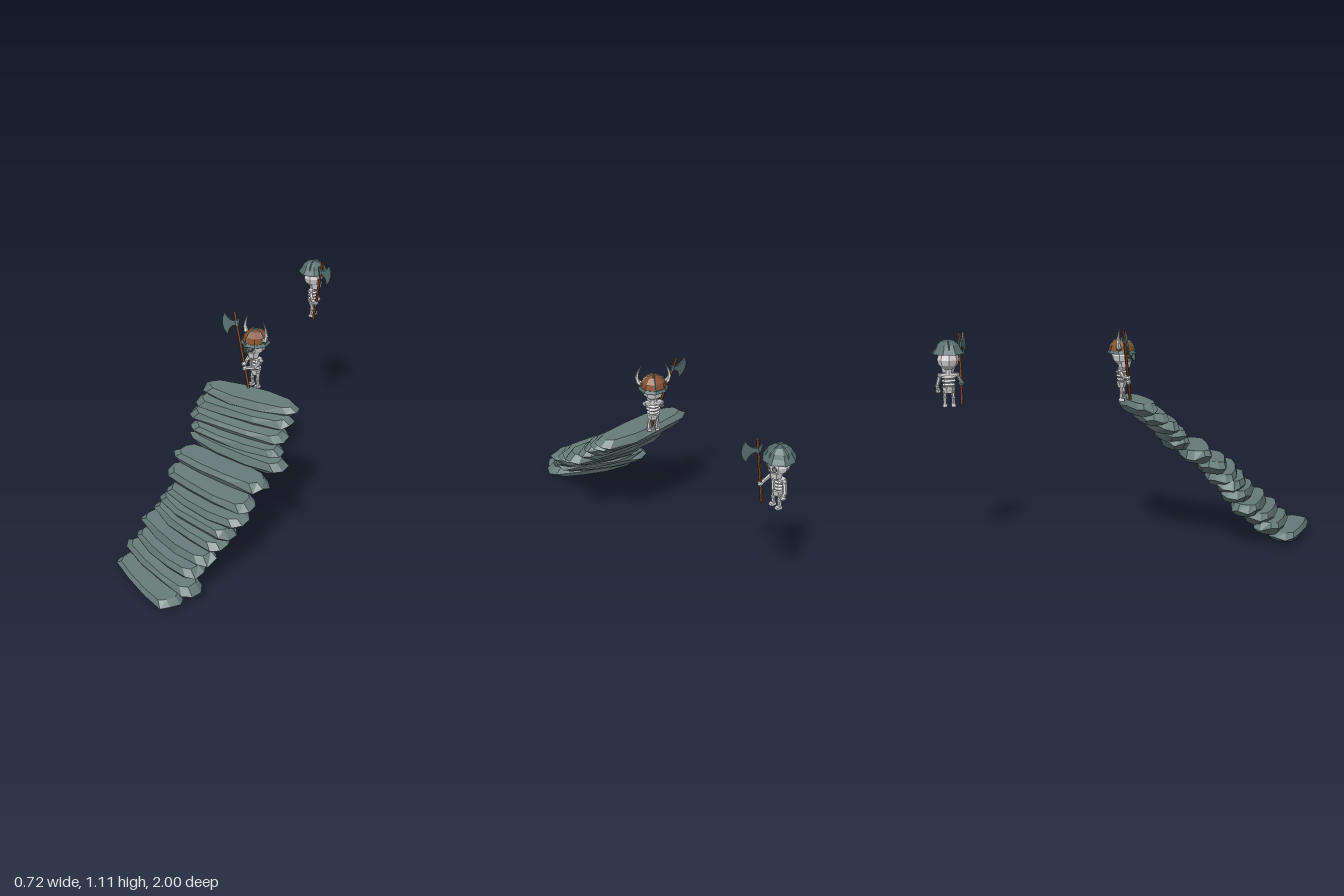
import * as THREE from 'three';

const mat = (name, color, double) => new THREE.MeshStandardMaterial({
  name, color, flatShading: true, side: double ? THREE.DoubleSide : THREE.FrontSide });
const V = (x, y, z) => new THREE.Vector3(x, y, z);

export function createModel() {
  const stone = mat('stone', 0x667b79), metal = mat('dull metal', 0x586e6e, true),
    leather = mat('brown leather', 0x87512f), wood = mat('wood', 0x7c4a26),
    bone = mat('bone', 0xd8d6d6), socket = mat('socket grey', 0x74797b), horn = mat('horn', 0xdcdcd6);
  const model = new THREE.Group();
  model.name = 'stairsAndGuards';

  let seed = 7;
  const rand = () => (seed = (seed * 16807) % 2147483647) / 2147483647;

  const add = (parent, name, geo, material, x = 0, y = 0, z = 0) => {
    const m = new THREE.Mesh(geo, material);
    m.name = name;
    m.position.set(x, y, z);
    parent.add(m);
    return m;
  };
  // Cylinder running between two points
  const rod = (parent, name, a, b, r0, r1, material, sides = 6) => {
    const d = b.clone().sub(a);
    const m = add(parent, name, new THREE.CylinderGeometry(r1, r0, d.length(), sides), material);
    m.position.copy(a).addScaledVector(d, 0.5);
    m.quaternion.setFromUnitVectors(V(0, 1, 0), d.normalize());
    return m;
  };
  const knob = (parent, name, p, r, material) =>
    add(parent, name, new THREE.IcosahedronGeometry(r, 0), material, p.x, p.y, p.z);

  // Rough rounded slab with thin pointed ends, made of three stacked rings
  function slabGeometry(length, width, thick) {
    const n = 12, r = width / 2, half = length / 2 - r, pos = [], idx = [];
    const jitter = Array.from({ length: n }, () => 0.93 + rand() * 0.12);
    const levels = [[-0.5, 0.036], [0, 0], [0.5, 0.028]];
    levels.forEach(([h, inset]) => {
      for (let i = 0; i < n; i++) {
        const a = ((i + 0.5) / n) * Math.PI * 2, c = Math.cos(a), s = Math.sin(a);
        const e = r * jitter[i] - inset * 0.5, side = Math.max(-1, Math.min(1, c * 1.3));
        const wobble = h === 0 ? (rand() - 0.5) * thick * 0.4 : 0;
        pos.push(side * (half - inset * 0.9) + c * e, h * thick + wobble, Math.sign(s) * Math.pow(Math.abs(s), 0.8) * e);
      }
    });
    for (let k = 0; k < levels.length - 1; k++) for (let i = 0; i < n; i++) {
      const a = k * n + i, b = k * n + (i + 1) % n;
      idx.push(a, a + n, b, b, a + n, b + n);
    }
    const top = (levels.length - 1) * n, c0 = pos.length / 3;
    pos.push(0, -thick / 2, 0, 0, thick / 2, 0);
    for (let i = 0; i < n; i++) {
      const j = (i + 1) % n;
      idx.push(c0, i, j, c0 + 1, top + j, top + i);
    }
    const g = new THREE.BufferGeometry();
    g.setAttribute('position', new THREE.Float32BufferAttribute(pos, 3));
    g.setIndex(idx);
    g.computeVertexNormals();
    return g;
  }

  // Stairs: left x, right x, height, z, turn, sideways tilt, forward pitch
  const stairs = new THREE.Group();
  stairs.name = 'stairs';
  model.add(stairs);
  [
    [-0.35, 0.08, 0.032, 0.84, 0.55, -0.02, 0.03], [-0.335, 0.14, 0.07, 0.75, 0.46, -0.06, 0.05],
    [-0.30, 0.13, 0.125, 0.70, 0.48, 0, 0.08], [-0.315, 0.165, 0.175, 0.635, 0.45, 0, 0.08],
    [-0.26, 0.20, 0.23, 0.58, 0.42, -0.05, 0.06], [-0.235, 0.22, 0.28, 0.55, 0.36, -0.04, 0.08],
    [-0.215, 0.27, 0.322, 0.51, 0.32, 0.01, 0.08], [-0.235, 0.27, 0.382, 0.45, 0.25, -0.05, 0.1],
    [-0.235, 0.30, 0.446, 0.365, 0.2, -0.05, 0.02], [-0.19, 0.35, 0.51, 0.26, 0.16, -0.05, 0.06],
    [-0.195, 0.31, 0.55, 0.225, 0.1, -0.06, 0.1], [-0.22, 0.305, 0.603, 0.175, 0.08, -0.05, 0.12],
    [-0.21, 0.31, 0.65, 0.115, 0.05, -0.03, 0.1], [-0.2, 0.315, 0.696, 0.06, 0.03, -0.05, 0.04],
  ].forEach(([x0, x1, y, z, turn, tilt, pitch], i) => {
    const w = i > 8 ? 0.155 : 0.17, len = (x1 - x0 - w) / Math.cos(turn) + w + 0.02;
    const s = add(stairs, 'step' + (i + 1), slabGeometry(len, w, i ? 0.066 : 0.05), stone, (x0 + x1) / 2, y, z);
    s.rotation.set(pitch, -turn, tilt);
  });

  // Axe from foot to tip, with its blade pointing along "out"
  function axe(foot, tip, out) {
    const g = new THREE.Group(), y = tip.clone().sub(foot), len = y.length();
    g.name = 'axe';
    y.normalize();
    const z = out.clone().cross(y).normalize(), x = y.clone().cross(z);
    g.quaternion.setFromRotationMatrix(new THREE.Matrix4().makeBasis(x, y, z));
    g.position.copy(foot);
    rod(g, 'axeShaft', V(0, 0, 0), V(0, len, 0), 0.008, 0.0075, wood);
    const s = new THREE.Shape();
    s.moveTo(-0.024, 0.022);
    s.lineTo(-0.004, 0.011);
    s.lineTo(0.022, 0.011);
    s.quadraticCurveTo(0.042, 0.022, 0.056, 0.056);
    s.quadraticCurveTo(0.102, 0.0, 0.06, -0.06);
    s.quadraticCurveTo(0.05, -0.024, 0.022, -0.015);
    s.lineTo(-0.012, -0.014);
    const blade = new THREE.ExtrudeGeometry(s, { depth: 0.008, bevelEnabled: false, curveSegments: 4 });
    add(g, 'axeBlade', blade, metal, 0, len - 0.055, -0.004);
    add(g, 'axeCollar', new THREE.CylinderGeometry(0.011, 0.011, 0.028, 6), metal, 0, len - 0.057, 0);
    model.add(g);
  }

  // Tapered horn along a curve
  function hornGeometry(side) {
    const curve = new THREE.CatmullRomCurve3([V(0.056, 0.272, 0), V(0.08, 0.29, 0), V(0.08, 0.325, 0), V(0.06, 0.374, 0)]
      .map(p => V(p.x * side, p.y, p.z)));
    const seg = 5, sides = 5, g = new THREE.TubeGeometry(curve, seg, 0.015, sides), p = g.attributes.position;
    for (let i = 0; i < p.count; i++) {
      const u = Math.floor(i / (sides + 1)) / seg, c = curve.getPointAt(u);
      const v = V().fromBufferAttribute(p, i).sub(c).multiplyScalar(1 - 0.95 * u).add(c);
      p.setXYZ(i, v.x, v.y, v.z);
    }
    return g;
  }

  function hornedHelmet(f) {
    const dome = new THREE.SphereGeometry(0.068, 8, 3, 0, Math.PI * 2, 0, Math.PI / 2);
    add(f, 'helmetDome', dome, leather, 0, 0.254, 0);
    add(f, 'helmetRim', new THREE.CylinderGeometry(0.069, 0.077, 0.014, 8), metal, 0, 0.252, 0);
    [0, Math.PI / 2].forEach(a => {
      const strap = new THREE.TorusGeometry(0.066, 0.005, 4, 8, Math.PI);
      add(f, 'helmetStrap', strap, metal, 0, 0.254, 0).rotation.y = a;
    });
    add(f, 'noseGuard', new THREE.BoxGeometry(0.014, 0.05, 0.01), metal, 0, 0.232, 0.066);
    [-1, 1].forEach(s => {
      add(f, 'eyeGuard', new THREE.TorusGeometry(0.017, 0.004, 4, 6), metal, s * 0.022, 0.236, 0.055).rotation.y = s * 0.35;
      add(f, 'horn', hornGeometry(s), horn);
      knob(f, 'hornSocket', V(s * 0.062, 0.275, 0), 0.016, metal);
    });
  }

  function brimmedHelmet(f) {
    const profile = [[0.056, 0.262], [0.082, 0.264], [0.078, 0.272], [0.066, 0.29], [0.056, 0.31], [0.032, 0.328], [0, 0.332]];
    add(f, 'brimmedHelmet', new THREE.LatheGeometry(profile.map(p => new THREE.Vector2(...p)), 8), metal).rotation.y = Math.PI / 8;
    [0, Math.PI / 2].forEach(a => {
      const strap = new THREE.TorusGeometry(0.06, 0.004, 4, 6, Math.PI).scale(1, 0.76, 1);
      add(f, 'helmetStrap', strap, metal, 0, 0.287, 0).rotation.y = a;
    });
  }

  // Skeleton facing its own +z; hands are given in model space
  function skeleton(name, position, turn, helmet, hands) {
    const f = new THREE.Group();
    f.name = name;
    f.position.copy(position);
    f.rotation.y = turn;
    f.updateMatrixWorld(true);
    model.add(f);

    // Head
    add(f, 'skull', new THREE.SphereGeometry(0.055, 8, 6).scale(1, 0.95, 1), bone, 0, 0.234, 0);
    add(f, 'jaw', new THREE.CylinderGeometry(0.038, 0.029, 0.034, 7), bone, 0, 0.186, 0.014);
    [-1, 1].forEach(s => {
      const eye = add(f, 'eyeSocket', new THREE.CylinderGeometry(0.013, 0.013, 0.008, 6).rotateX(Math.PI / 2), socket, s * 0.023, 0.229, 0.047);
      eye.rotation.y = s * 0.4;
    });
    add(f, 'noseHole', new THREE.CylinderGeometry(0.006, 0.006, 0.006, 3).rotateX(-Math.PI / 2), socket, 0, 0.206, 0.05);
    helmet(f);

    // Torso
    rod(f, 'spine', V(0, 0.08, -0.012), V(0, 0.18, -0.006), 0.013, 0.012, bone);
    [[0.108, 0.026], [0.127, 0.029], [0.146, 0.031]].forEach(([y, r]) =>
      add(f, 'rib', new THREE.TorusGeometry(r, 0.0085, 4, 8).rotateX(Math.PI / 2).scale(1, 1, 0.8), bone, 0, y, 0));
    add(f, 'breastbone', new THREE.BoxGeometry(0.014, 0.052, 0.01), bone, 0, 0.130, 0.027);
    add(f, 'shoulderBar', new THREE.BoxGeometry(0.08, 0.014, 0.026), bone, 0, 0.160, 0);
    add(f, 'pelvis', new THREE.CylinderGeometry(0.035, 0.026, 0.03, 7).scale(1, 1, 0.8), bone, 0, 0.082, 0);

    [-1, 1].forEach((s, i) => {
      // Leg
      const hip = V(s * 0.02, 0.078, 0), knee = V(s * 0.021, 0.042, 0.004), ankle = V(s * 0.021, 0.006, 0);
      rod(f, 'thigh', hip, knee, 0.011, 0.009, bone);
      rod(f, 'shin', knee, ankle, 0.010, 0.0085, bone);
      knob(f, 'kneecap', knee, 0.0125, bone);
      add(f, 'foot', new THREE.BoxGeometry(0.021, 0.014, 0.03), bone, s * 0.021, 0.004, 0.005);
      // Arm
      const shoulder = V(s * 0.043, 0.156, 0);
      const hand = hands[i] ? f.worldToLocal(hands[i].clone()) : V(s * 0.052, 0.076, 0.012);
      const elbow = shoulder.clone().lerp(hand, 0.5).add(V(s * 0.009, -0.014, 0));
      rod(f, 'upperArm', shoulder, elbow, 0.0105, 0.009, bone);
      rod(f, 'forearm', elbow, hand, 0.0105, 0.009, bone);
      knob(f, 'shoulder', shoulder, 0.014, bone);
      knob(f, 'elbow', elbow, 0.012, bone);
      knob(f, 'hand', hand, 0.016, bone);
    });
  }

  // Front guard grips a leaning axe with both hands
  const foot1 = V(0.025, 0.73, 0.012), tip1 = V(-0.082, 1.11, -0.05);
  skeleton('hornedGuard', V(0.045, 0.73, -0.028), -0.45, hornedHelmet,
    [foot1.clone().lerp(tip1, 0.32), foot1.clone().lerp(tip1, 0.26)]);
  axe(foot1, tip1, V(-1, 0, -0.05));

  // Rear guard stands to the side with an upright axe
  const foot2 = V(0.035, 0.742, -0.853), tip2 = V(0.08, 1.1, -0.853);
  skeleton('brimmedGuard', V(0.003, 0.742, -0.92), Math.PI / 2, brimmedHelmet,
    [foot2.clone().lerp(tip2, 0.3), null]);
  axe(foot2, tip2, V(0.88, 0, 0.42));

  return model;
}
